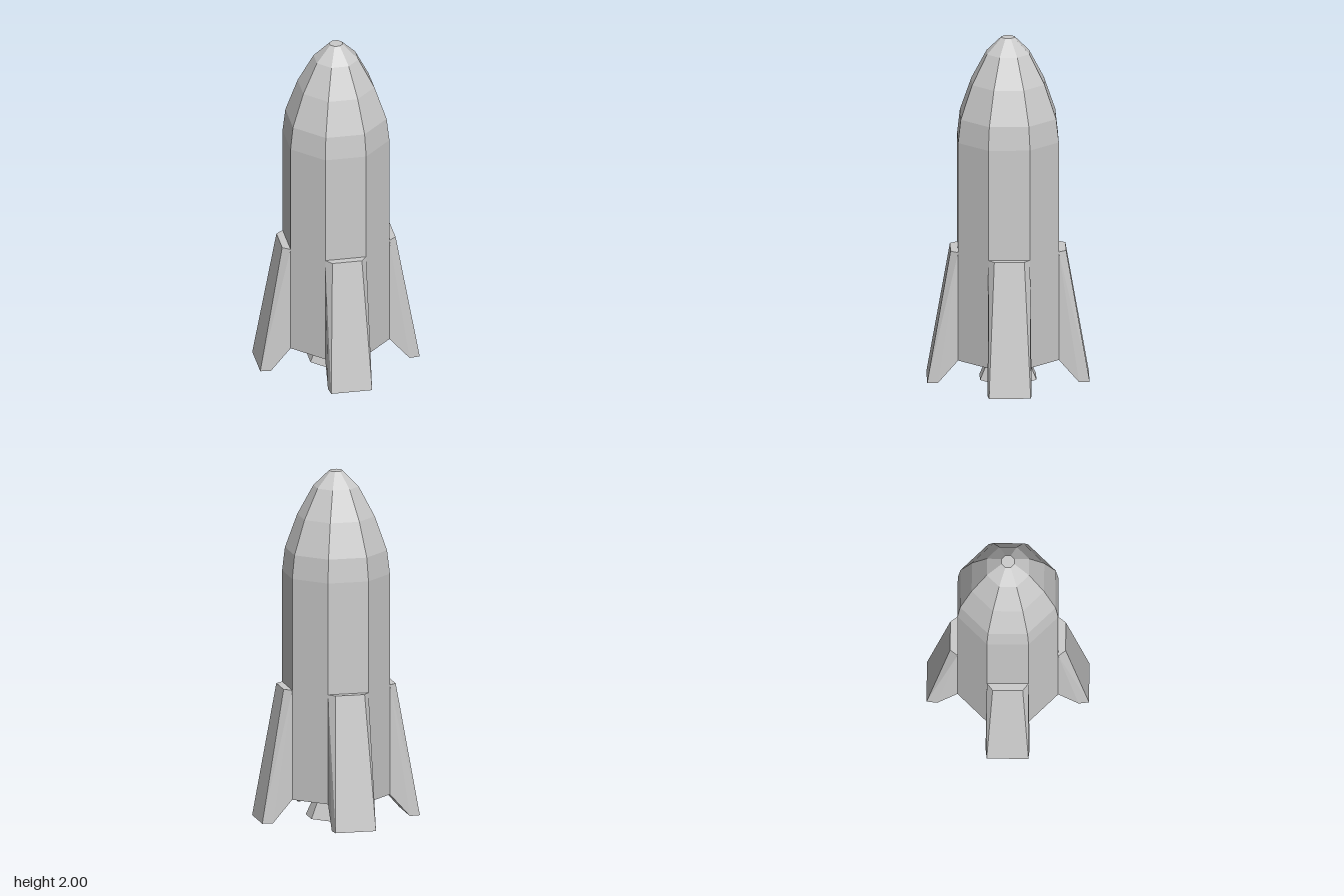
import * as THREE from 'three';

const material = new THREE.MeshStandardMaterial({ color: 0xcccccc, flatShading: true });

// Eight-sided lathe; profile points are [distance to the flat, height]
function octagonal(name, profile) {
  const k = 1 / Math.cos(Math.PI / 8);
  const points = profile.map(([r, y]) => new THREE.Vector2(r * k, y));
  const mesh = new THREE.Mesh(new THREE.LatheGeometry(points, 8, Math.PI / 8), material);
  mesh.name = name;
  return mesh;
}

// Fin reaching out along +z: a side outline of [z, y, half width], mirrored in x
function finGeometry() {
  const outline = [
    [0.285, 0.765, 0.118],
    [0.327, 0.765, 0.085],
    [0.46, 0, 0.118],
    [0.4, 0, 0.125],
    [0.285, 0.13, 0.118],
  ];
  const positions = [];
  for (const [z, y, w] of outline) positions.push(w, y, z, -w, y, z);
  const index = [];
  // Top, outer face, foot and sloping underside
  for (let i = 0; i < 4; i++) {
    const a = 2 * i;
    index.push(a, a + 1, a + 3, a, a + 3, a + 2);
  }
  // Left and right cheeks
  for (let i = 1; i < 4; i++) {
    const a = 2 * i;
    index.push(0, a, a + 2, 1, a + 3, a + 1);
  }
  const indexed = new THREE.BufferGeometry();
  indexed.setAttribute('position', new THREE.Float32BufferAttribute(positions, 3));
  indexed.setIndex(index);
  const geometry = indexed.toNonIndexed();
  geometry.computeVertexNormals();
  return geometry;
}

export function createModel() {
  const model = new THREE.Group();
  model.name = 'rocket';

  // Hull with tapering nose and flat tip
  model.add(octagonal('hull', [
    [0, 0.13], [0.285, 0.13], [0.285, 1.41], [0.27, 1.545],
    [0.205, 1.74], [0.12, 1.91], [0.036, 2], [0, 2],
  ]));

  // Flared engine bell, hollow underneath
  model.add(octagonal('engineNozzle', [
    [0, 0.05], [0.1, 0.05], [0.16, 0], [0.106, 0.13],
  ]));

  // Four fins around the base
  const geometry = finGeometry();
  ['front', 'left', 'back', 'right'].forEach((side, i) => {
    const fin = new THREE.Mesh(geometry, material);
    fin.name = side + 'Fin';
    fin.rotation.y = i * Math.PI / 2;
    model.add(fin);
  });

  return model;
}
